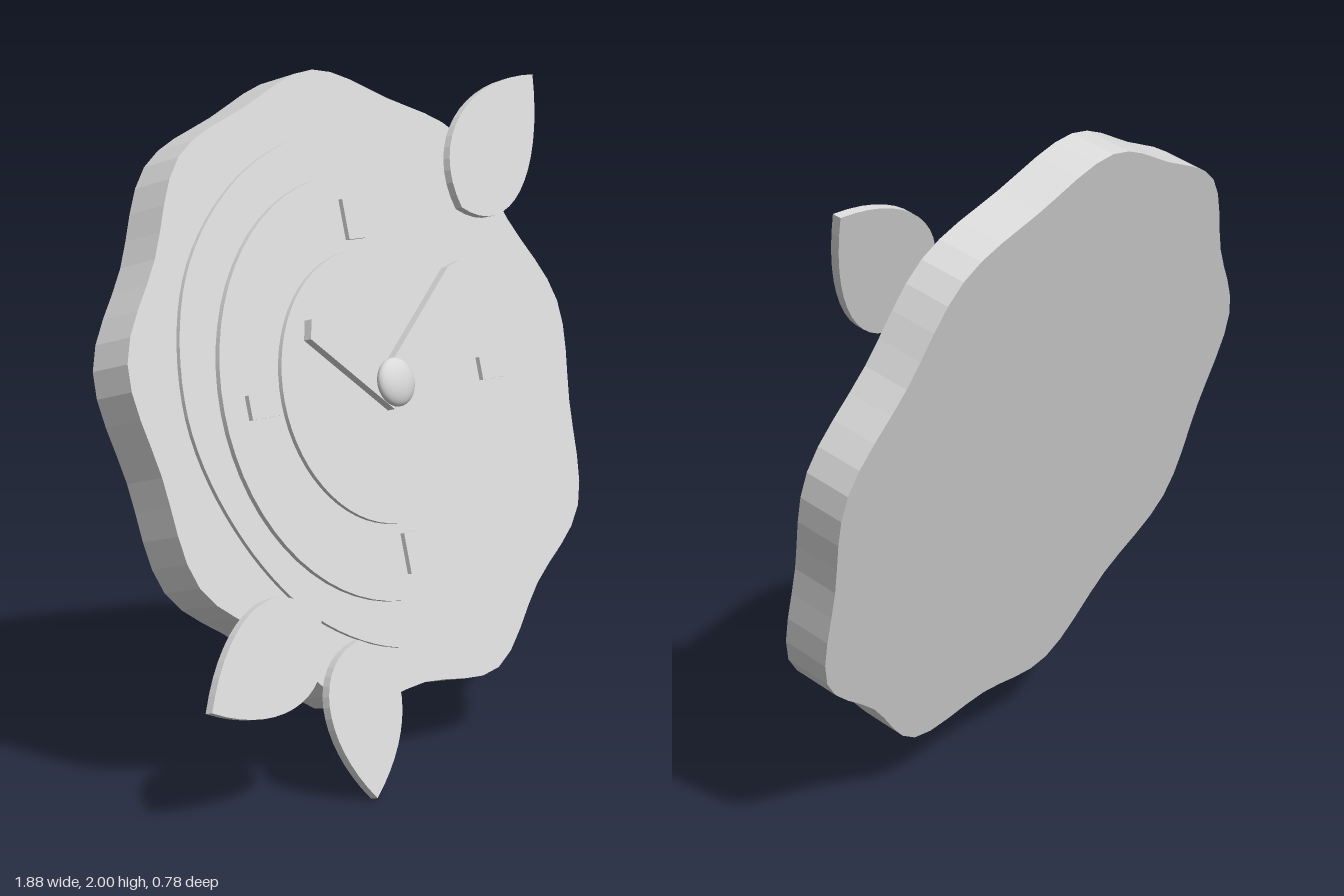
import * as THREE from 'three';

const paleGrey = new THREE.MeshStandardMaterial({ color: 0xd9d9d9 });
paleGrey.name = 'pale grey';

export function createModel() {
  const model = new THREE.Group();
  model.name = 'flowerClock';

  // Everything sits on one plane that leans back
  const clock = new THREE.Group();
  clock.name = 'leaningClock';
  clock.rotation.x = -0.25;
  clock.position.set(0, 1.08, -0.008);
  model.add(clock);

  function add(name, geometry) {
    const mesh = new THREE.Mesh(geometry, paleGrey);
    mesh.name = name;
    clock.add(mesh);
    return mesh;
  }

  // Plate cut from a shape, from depth "back" to depth "front"
  function plate(name, shape, back, front) {
    const geometry = new THREE.ExtrudeGeometry(shape, {
      depth: front - back, bevelEnabled: false, curveSegments: 16,
    });
    geometry.translate(0, 0, back);
    return add(name, geometry);
  }

  // Closed smooth outline through evenly spaced radii, starting at the top
  function wavyShape(radii, segments, offsetY = 0) {
    const points = radii.map((r, i) => {
      const a = Math.PI / 2 + (i / radii.length) * Math.PI * 2;
      return new THREE.Vector3(r * Math.cos(a), r * Math.sin(a) + offsetY, 0);
    });
    const outline = new THREE.CatmullRomCurve3(points, true).getPoints(segments);
    outline.pop();
    return new THREE.Shape(outline.map((p) => new THREE.Vector2(p.x, p.y)));
  }

  // Scalloped body with nine petals
  plate('petalBody', wavyShape([
    0.94, 0.895, 0.93, 0.873, 0.939, 0.89, 0.94, 0.87, 0.95,
    0.888, 0.965, 0.90, 0.969, 0.905, 0.937, 0.873, 0.93, 0.895,
  ], 72, 0.01), -0.145, 0);

  // Uneven inner layer
  plate('innerPetalLayer', wavyShape([
    0.758, 0.76, 0.77, 0.754, 0.725, 0.74,
    0.771, 0.772, 0.806, 0.777, 0.757, 0.72,
  ], 96), -0.01, 0.013);

  // Round dial discs
  function disc(name, radius, back, front) {
    const geometry = new THREE.CylinderGeometry(radius, radius, front - back, 64);
    geometry.rotateX(Math.PI / 2);
    add(name, geometry).position.z = (back + front) / 2;
  }
  disc('dial', 0.63, 0, 0.029);
  disc('dialCentre', 0.405, 0.02, 0.043);

  // Four hour markers
  for (let i = 0; i < 4; i++) {
    const a = (i * Math.PI) / 2;
    const upright = i % 2 === 1;
    const marker = add('hourMarker', new THREE.BoxGeometry(upright ? 0.07 : 0.12, upright ? 0.12 : 0.07, 0.015));
    marker.position.set(0.495 * Math.cos(a), 0.495 * Math.sin(a), 0.05);
  }

  // Hands, outlined along +x and turned into place
  function hand(name, points, degrees, back, front) {
    const shape = new THREE.Shape(points.map(([x, y]) => new THREE.Vector2(x, y)));
    const mesh = plate(name, shape, back, front);
    mesh.rotation.z = THREE.MathUtils.degToRad(degrees);
    mesh.position.y = 0.005;
  }
  hand('minuteHand', [
    [-0.05, -0.055], [0.48, -0.028], [0.51, 0.012], [0.455, 0.037], [-0.05, 0.037],
  ], 38.5, 0.062, 0.09);
  hand('hourHand', [
    [-0.04, 0.07], [-0.06, -0.04], [0.3, -0.018], [0.355, 0], [0.335, 0.055],
  ], 143, 0.06, 0.088);

  // Domed knob over the pivot
  const knob = add('centreKnob', new THREE.SphereGeometry(0.072, 32, 20));
  knob.scale.z = 0.45;
  knob.position.set(0, 0.002, 0.103);

  // Leaves from a rounded base to a pointed tip
  function leaf(name, base, tip, halfWidth, back) {
    const dx = tip[0] - base[0];
    const dy = tip[1] - base[1];
    const length = Math.hypot(dx, dy);
    const shape = new THREE.Shape();
    shape.moveTo(0, 0);
    shape.bezierCurveTo(0.12 * length, -1.35 * halfWidth, 0.6 * length, -1.3 * halfWidth, length, 0);
    shape.bezierCurveTo(0.6 * length, 1.3 * halfWidth, 0.12 * length, 1.35 * halfWidth, 0, 0);
    const mesh = plate(name, shape, back, back + 0.026);
    mesh.position.set(base[0], base[1], 0);
    mesh.rotation.z = Math.atan2(dy, dx);
  }
  leaf('upperLeaf', [0.426, 0.488], [0.876, 0.881], 0.165, 0.081);
  leaf('lowerSideLeaf', [-0.489, -0.614], [-0.955, -0.784], 0.152, 0.085);
  leaf('lowerLeaf', [-0.368, -0.695], [-0.41, -1.137], 0.147, 0.097);

  return model;
}
